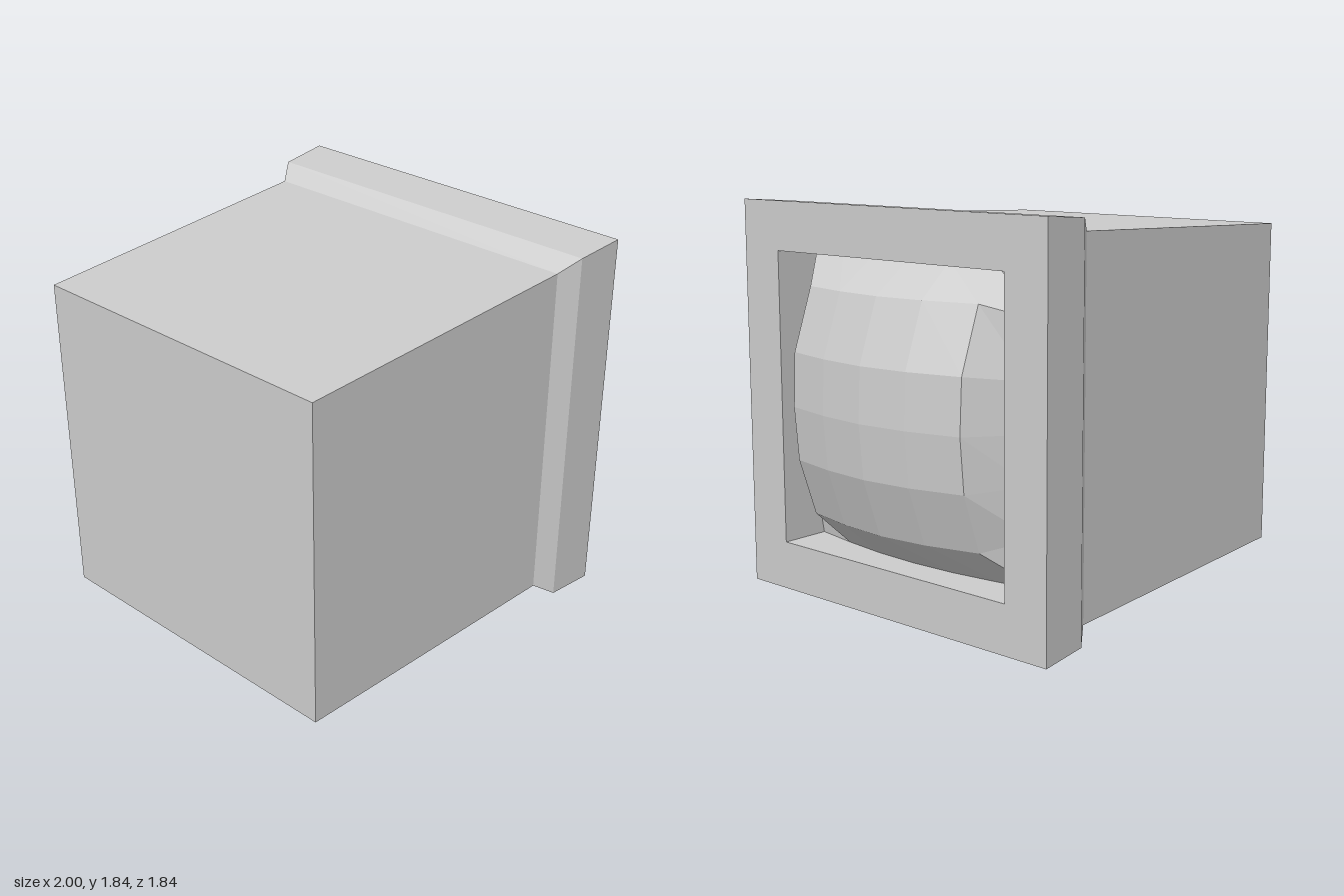
import * as THREE from 'three';

const CENTRE_Y = 0.92;

// Square tapered shell: a four-sided lathe turned so its axis runs along x
function makeHousing(profile) {
  const points = profile.map(([x, half]) => new THREE.Vector2(half * Math.SQRT2, x));
  const geometry = new THREE.LatheGeometry(points, 4)
    .rotateY(Math.PI / 4)
    .rotateZ(-Math.PI / 2)
    .toNonIndexed();
  geometry.computeVertexNormals();
  return geometry;
}

// Faceted bulging lens, a 6 x 6 grid meeting the walls of the opening
function makeLens() {
  const across = [-0.69, -0.51, -0.25, 0, 0.25, 0.5, 0.69];
  const up = [-0.69, -0.52, -0.25, 0, 0.25, 0.54, 0.69];
  const dropZ = [0, 0.09, 0.025, 0, 0.02, 0.07, 0];
  const dropY = [0, 0.115, 0.022, 0, 0.012, 0.115, 0];
  const rimX = [0.6, 0.64, 0.67, 0.68, 0.67, 0.64, 0.6];
  const isRim = (i) => i === 0 || i === 6;

  const node = (i, j) => {
    let y = up[i];
    let z = across[j];
    let x = 1 - dropY[i] - dropZ[j];
    if (isRim(i) || isRim(j)) x = isRim(i) ? rimX[j] : rimX[i];
    // grid lines pinch inward where they reach the rim
    if (isRim(i) && !isRim(j)) z *= 0.93;
    if (isRim(j) && !isRim(i)) y *= 0.88;
    return [x, y, z];
  };

  const positions = [];
  for (let i = 0; i < 6; i++) {
    for (let j = 0; j < 6; j++) {
      const a = node(i, j), b = node(i + 1, j), c = node(i + 1, j + 1), d = node(i, j + 1);
      positions.push(...a, ...b, ...c, ...a, ...c, ...d);
    }
  }
  const geometry = new THREE.BufferGeometry();
  geometry.setAttribute('position', new THREE.Float32BufferAttribute(positions, 3));
  geometry.computeVertexNormals();
  return geometry;
}

export function createModel() {
  const model = new THREE.Group();
  model.name = 'boxWithLens';

  const grey = new THREE.MeshStandardMaterial({ color: 0xcccccc });
  grey.name = 'light grey';

  const add = (name, geometry) => {
    const mesh = new THREE.Mesh(geometry, grey);
    mesh.name = name;
    mesh.position.y = CENTRE_Y;
    model.add(mesh);
  };

  // Back panel, tapered body, flared collar, front frame and inner walls
  add('housing', makeHousing([
    [-1, 0], [-1, 0.785], [0.5, 0.838], [0.59, 0.9],
    [0.84, 0.918], [0.84, 0.69], [0.55, 0.69],
  ]));
  add('lens', makeLens());

  return model;
}
